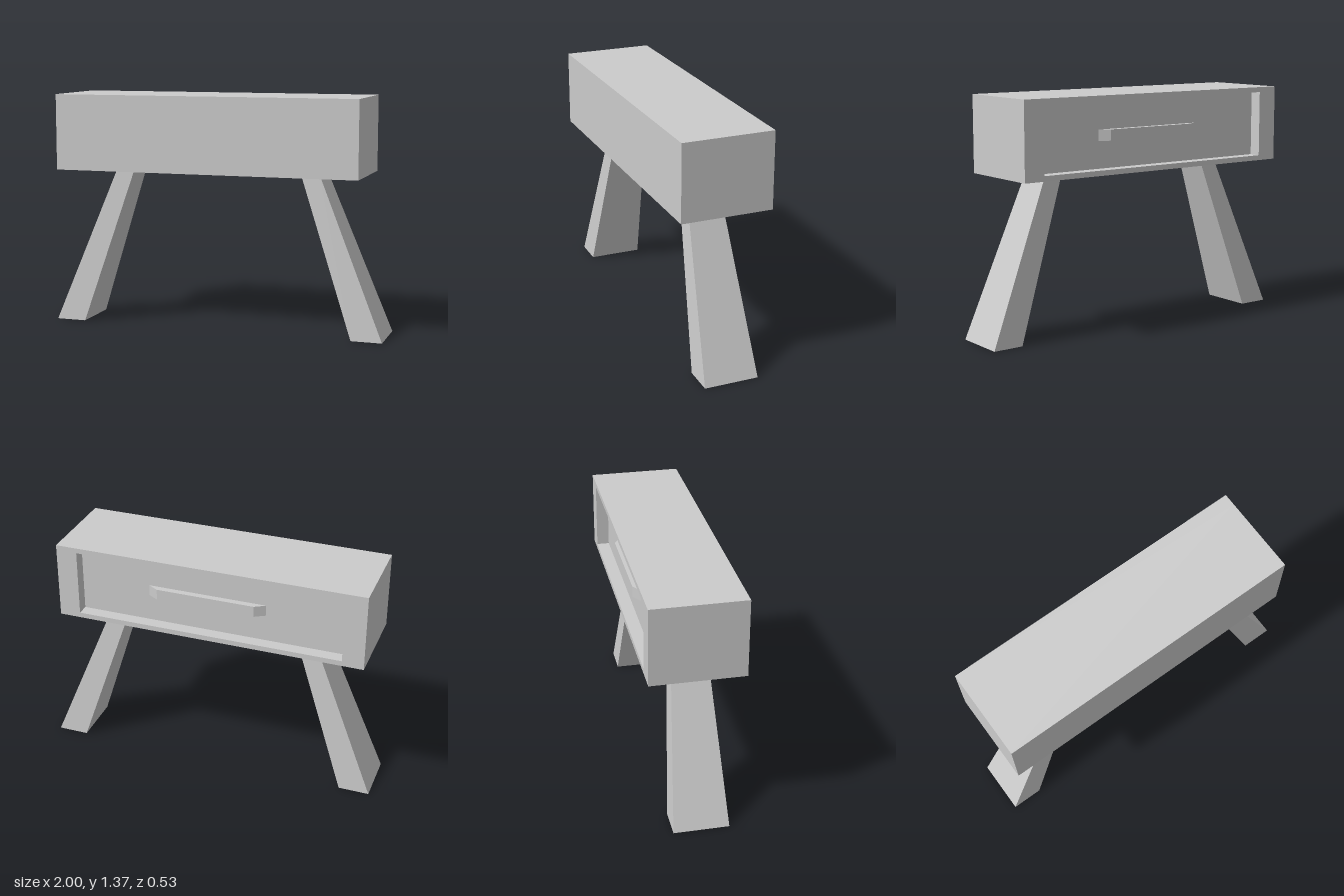
import * as THREE from 'three';

const material = new THREE.MeshStandardMaterial({ color: 0xcccccc, flatShading: true });

function rectangle(PathType, x0, x1, y0, y1) {
  return new PathType([[x0, y0], [x1, y0], [x1, y1], [x0, y1]].map(([x, y]) => new THREE.Vector2(x, y)));
}

// Box whose bottom and top ends are separate rectangles: [x0, x1, z0, z1]
function taperedBox(y0, bottom, y1, top) {
  const geometry = new THREE.BoxGeometry(1, 1, 1);
  const p = geometry.attributes.position;
  for (let i = 0; i < p.count; i++) {
    const up = p.getY(i) > 0;
    const end = up ? top : bottom;
    p.setXYZ(i, end[p.getX(i) > 0 ? 1 : 0], up ? y1 : y0, end[p.getZ(i) > 0 ? 3 : 2]);
  }
  geometry.computeVertexNormals();
  return geometry;
}

export function createModel() {
  const group = new THREE.Group();
  const add = (name, geometry) => {
    const mesh = new THREE.Mesh(geometry, material);
    mesh.name = name;
    group.add(mesh);
    return mesh;
  };

  const x0 = -0.945, x1 = 0.87, y0 = 0.925, y1 = 1.37, back = -0.265, front = 0.265;
  const panelZ = back + 0.072;

  // Cabinet body; its rear face is the recessed drawer front
  add('cabinetBody', taperedBox(y0, [x0, x1, panelZ, front], y1, [x0, x1, panelZ, front]));

  // Rim around the recess at the back
  const rim = rectangle(THREE.Shape, x0, x1, y0, y1);
  rim.holes.push(rectangle(THREE.Path, x0 + 0.124, x1 - 0.124, y0 + 0.03, y1 - 0.03));
  add('cabinetRim', new THREE.ExtrudeGeometry(rim, { depth: panelZ - back, bevelEnabled: false }))
    .position.z = back;

  // Drawer handle: shallow trapezoid seen from above, standing out from the panel
  const hx0 = -0.36, hx1 = 0.335, taper = 0.06, reach = 0.036;
  const outline = new THREE.Shape([
    new THREE.Vector2(hx0, 0), new THREE.Vector2(hx1, 0),
    new THREE.Vector2(hx1 - taper, reach), new THREE.Vector2(hx0 + taper, reach),
  ]);
  const handle = add('drawerHandle', new THREE.ExtrudeGeometry(outline, { depth: 0.063, bevelEnabled: false }));
  handle.rotation.x = -Math.PI / 2;
  handle.position.set(0, 1.112, panelZ);

  // Splayed legs, wider at the foot
  const foot = [0.82, 1, -0.14, 0.175], head = [0.51, 0.62, -0.08, 0.12];
  const mirror = ([a, b, c, d]) => [-b, -a, c, d];
  add('leftLeg', taperedBox(0, foot, y0, head));
  add('rightLeg', taperedBox(0, mirror(foot), y0, mirror(head)));

  return group;
}
